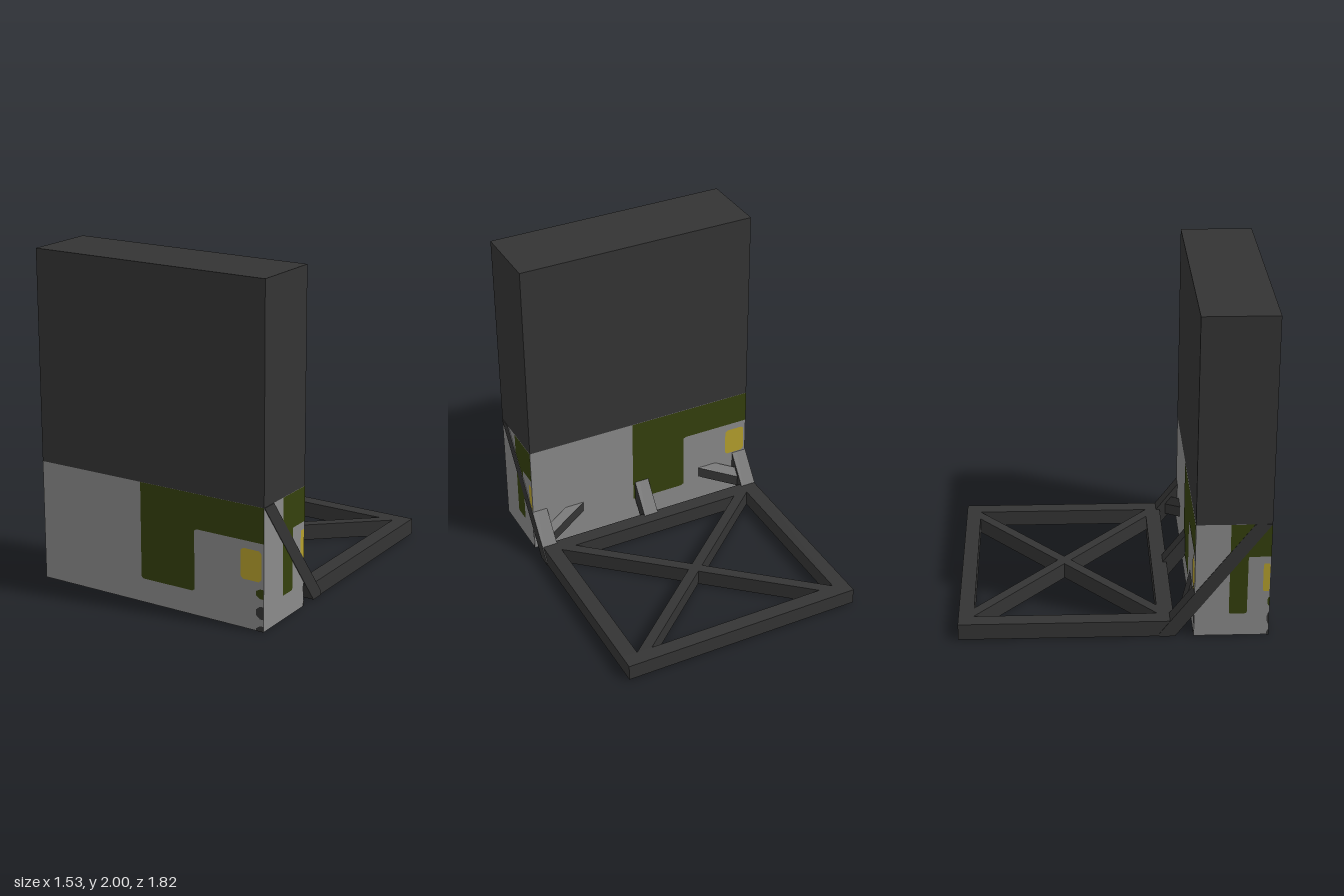
import * as THREE from 'three';

const mat = (name, color) => {
  const m = new THREE.MeshStandardMaterial({ color });
  m.name = name;
  return m;
};

export function createModel() {
  const dark = mat('charcoal', 0x343434);
  const grey = mat('grey', 0x8a8a8a);
  const olive = mat('olive', 0x35400d);
  const yellow = mat('yellow', 0xb5a02d);

  const model = new THREE.Group();
  model.name = 'panelOnStand';

  const add = (parent, name, geometry, material) => {
    const mesh = new THREE.Mesh(geometry, material);
    mesh.name = name;
    parent.add(mesh);
    return mesh;
  };
  const box = (name, x0, x1, y0, y1, z0, z1, material, parent = model) => {
    const mesh = add(parent, name, new THREE.BoxGeometry(x1 - x0, y1 - y0, z1 - z0), material);
    mesh.position.set((x0 + x1) / 2, (y0 + y1) / 2, (z0 + z1) / 2);
    return mesh;
  };
  const polygon = pts => new THREE.Shape(pts.map(p => new THREE.Vector2(p[0], p[1])));

  // Main slab: grey base and dark upper block
  const W = 0.76, Z0 = 0.47, Z1 = 0.91, H = 0.73, ZC = (Z0 + Z1) / 2;
  box('lowerBlock', -W, W, 0, H, Z0, Z1, grey);
  box('upperBlock', -W, W, H, 2, Z0, Z1, dark);

  // Painted patches, laid out in unit coordinates over one face
  const chamfered = (x0, x1, y0, y1, cx, cy) => [
    [x0 + cx, y0], [x1 - cx, y0], [x1, y0 + cy], [x1, y1 - cy],
    [x1 - cx, y1], [x0 + cx, y1], [x0, y1 - cy], [x0, y0 + cy]];
  const patches = [
    ['olivePatch', olive, [[0.46, 0.215], [0.47, 0.2], [0.69, 0.2], [0.7, 0.215],
      [0.7, 0.7], [0.71, 0.713], [1, 0.713], [1, 1], [0.46, 1]]],
    ['yellowPatch', yellow, chamfered(0.902, 0.99, 0.4, 0.65, 0.01, 0.02)],
    ['oliveSpot', olive, [[0.968, 0.29], [0.985, 0.267], [1, 0.267], [1, 0.345], [0.985, 0.345], [0.968, 0.325]]],
    ['darkSpot', dark, [[0.968, 0.13], [0.985, 0.1], [1, 0.1], [1, 0.205], [0.985, 0.205], [0.968, 0.175]]],
    ['lowDarkSpot', dark, [[0.968, 0], [1, 0], [1, 0.045], [0.985, 0.045], [0.968, 0.02]]],
  ];
  const paintFace = (name, w, h) => {
    const face = new THREE.Group();
    face.name = name;
    for (const [part, material, pts] of patches) {
      const shape = polygon(pts.map(([u, v]) => [(u - 0.5) * w, (v - 0.5) * h]));
      add(face, part, new THREE.ShapeGeometry(shape), material);
    }
    model.add(face);
    return face;
  };
  const D = Z1 - Z0, gap = 0.002;
  const sides = [['front', 2 * W, D / 2], ['right', D, W], ['back', 2 * W, D / 2], ['left', D, W]];
  sides.forEach(([name, w, out], i) => {
    const a = i * Math.PI / 2;
    const face = paintFace(name + 'Paint', w, H);
    face.rotation.y = a;
    face.position.set(Math.sin(a) * (out + gap), H / 2, ZC + Math.cos(a) * (out + gap));
  });

  // Underside paint covers the front half of the bottom
  const under = paintFace('undersidePaint', 2 * W, D / 2);
  under.quaternion.setFromRotationMatrix(new THREE.Matrix4().makeBasis(
    new THREE.Vector3(-1, 0, 0), new THREE.Vector3(0, 0, -1), new THREE.Vector3(0, -1, 0)));
  under.position.set(0, -gap, Z1 - D / 4);
  box('undersideDarkStrip', -0.74, -0.48, -0.003, 0, Z0, Z0 + 0.04, dark);

  // Flat ground frame
  const T = 0.1, I = 0.665;
  const frame = new THREE.Group();
  frame.name = 'groundFrame';
  model.add(frame);
  box('frameBackBar', -W, W, 0, T, -0.91, -0.82, dark, frame);
  box('frameFrontBar', -W, W, 0, T, 0.26, 0.355, dark, frame);
  for (const s of [-1, 1]) {
    const c = s * (W + I) / 2, hw = (W - I) / 2;
    box('frameSideBar', c - hw, c + hw, 0, T, -0.82, 0.26, dark, frame);
  }

  // Extrude a plan outline (x, z) upwards from y = 0
  const slab = (pts, height) => {
    const g = new THREE.ExtrudeGeometry(polygon(pts.map(([x, z]) => [x, -z])),
      { depth: height, bevelEnabled: false });
    return g.rotateX(-Math.PI / 2);
  };
  for (const s of [-1, 1]) {
    add(frame, 'frameDiagonal', slab([
      [-s * I, -0.82], [-s * (I - 0.095), -0.82], [s * I, 0.26], [s * (I - 0.095), 0.26]], T), dark);
  }

  // Sloping struts running up into the slab
  const strutProfile = polygon([[-0.36, 0], [-0.27, 0], [-0.27, 0.02], [-0.81, H], [-0.91, H]]);
  const strut = (x0, x1) => {
    const g = new THREE.ExtrudeGeometry(strutProfile, { depth: x1 - x0, bevelEnabled: false });
    g.rotateY(Math.PI / 2);
    g.translate(x0, 0, 0);
    add(model, 'slopingStrut', g, dark);
  };
  strut(I, W + 0.004);
  strut(-0.047, 0.047);
  strut(-W - 0.004, -I);

  // Cross braces lying in the plane of the struts
  for (const s of [-1, 1]) {
    const g = slab([[s * I, 0.39], [s * I, 0.43], [-s * I, 0.85], [-s * I, 0.81]], 0.07);
    const p = g.attributes.position;
    for (let i = 0; i < p.count; i++) p.setY(i, p.getY(i) + (p.getZ(i) - 0.36) * 1.32 + 0.03);
    // Keep the upper end inside the slab
    for (let i = 0; i < p.count; i++) p.setY(i, Math.min(p.getY(i), H));
    g.computeVertexNormals();
    add(model, 'strutBrace', g, dark);
  }

  return model;
}
